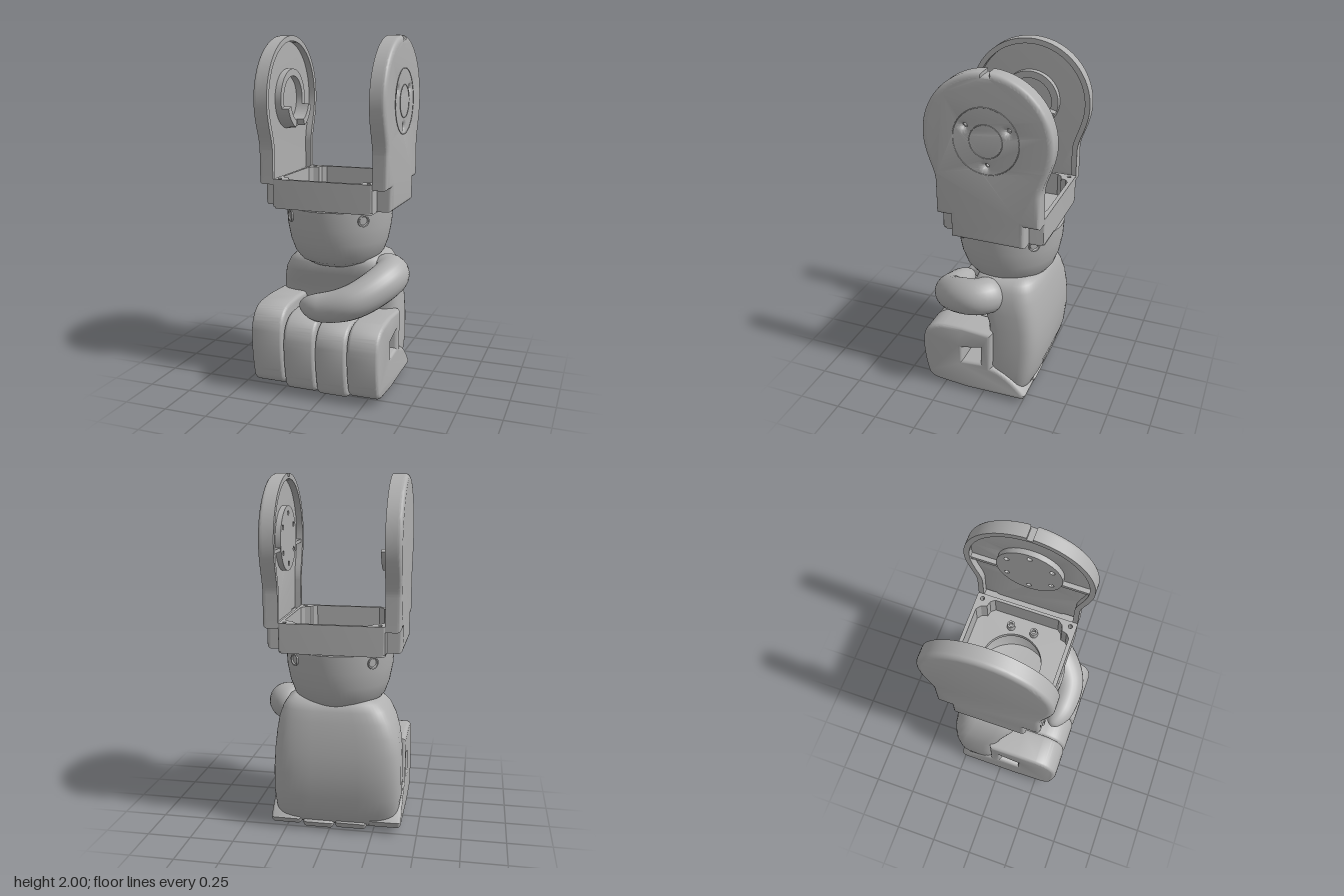
import * as THREE from 'three';
import { toCreasedNormals, mergeVertices } from 'three/addons/utils/BufferGeometryUtils.js';

const CX = -0.027, CZ = -0.045, HUB = 1.645;   // bracket axis and hub height

export function createModel() {
  const grey = new THREE.MeshStandardMaterial({ color: 0xb0b0b0 });
  grey.name = 'grey plastic';
  const model = new THREE.Group();
  model.name = 'fistWithBracket';

  const add = (name, geo, x = 0, y = 0, z = 0, parent = model) => {
    const m = new THREE.Mesh(geo, grey);
    m.name = name;
    m.position.set(x, y, z);
    parent.add(m);
    return m;
  };
  const circle = (x, y, r) => new THREE.Path().absarc(x, y, r, 0, Math.PI * 2, true);
  const extrude = (shape, depth, bevel = 0, thick = bevel) => toCreasedNormals(
    new THREE.ExtrudeGeometry(shape, {
      depth, curveSegments: 28, bevelEnabled: bevel > 0, bevelSegments: 5,
      bevelSize: bevel, bevelThickness: thick, bevelOffset: -bevel,
    }), 0.6);
  // shape X runs along z; the extrusion starts at x = 0 and runs to -x
  const sideways = (...a) => extrude(...a).rotateY(-Math.PI / 2);
  // the extrusion runs upward
  const upright = (...a) => extrude(...a).rotateX(-Math.PI / 2);

  // ---------- bracket side plates ----------
  const outline = (Type, inset, notch) => {
    const s = new Type(), w = 0.293 - inset, R = 0.355 - inset, a = 0.28;
    const ax = R * Math.cos(a), ay = HUB - R * Math.sin(a);
    if (inset) s.moveTo(-w, 1.2).lineTo(w, 1.2);
    else s.moveTo(-w, 1.19).lineTo(-0.21, 1.19).lineTo(-0.21, 1.06).lineTo(0.21, 1.06).lineTo(0.21, 1.19).lineTo(w, 1.19);
    s.lineTo(w, 1.37).bezierCurveTo(w, 1.43, ax - 0.022, ay - 0.08, ax, ay);
    if (notch) {
      const g = 0.045;
      s.absarc(0, HUB, R, -a, Math.PI / 2 - g, false);
      s.lineTo(0.016, 1.982).lineTo(-0.016, 1.982);
      s.absarc(0, HUB, R, Math.PI / 2 + g, Math.PI + a, false);
    } else s.absarc(0, HUB, R, -a, Math.PI + a, false);
    s.bezierCurveTo(-ax + 0.022, ay - 0.08, -w, 1.43, -w, 1.37);
    s.closePath();
    return s;
  };
  const bolts = [[0.118, 1.712], [-0.118, 1.712], [0, 1.508]];

  for (const side of [1, -1]) {
    const plate = new THREE.Group();
    plate.name = side > 0 ? 'leftPlate' : 'rightPlate';
    model.add(plate);
    const outer = side > 0 ? 0.35 : -0.403;
    const skin = outline(THREE.Shape, 0, side > 0);
    if (side > 0) bolts.forEach(([u, y]) => skin.holes.push(circle(u, y, 0.012)));
    add('plateSkin', sideways(skin, 0.002, 0.03, 0.025), side > 0 ? outer - 0.025 : outer + 0.027, 0, CZ, plate);
    const rim = outline(THREE.Shape, 0, side > 0);
    rim.holes.push(outline(THREE.Path, 0.03, false));
    add('plateRim', sideways(rim, 0.062), side > 0 ? outer - 0.026 : outer + 0.088, 0, CZ, plate);
  }

  // hub disc with bolt circle, ribs and outer seam lines on the left plate
  const disc = new THREE.Shape().absarc(0, HUB, 0.18, 0, Math.PI * 2);
  for (let i = 0; i < 6; i++) {
    const a = (i + 0.5) * Math.PI / 3;
    disc.holes.push(circle(0.14 * Math.cos(a), HUB + 0.14 * Math.sin(a), 0.014));
  }
  add('hubDisc', sideways(disc, 0.035), 0.303, 0, CZ);
  for (const s of [1, -1]) add('hubRib', new THREE.BoxGeometry(0.03, 0.02, 0.18), 0.287, 1.6, CZ + s * 0.25);
  for (const r of [0.18, 0.09]) {
    add('hubSeam', new THREE.TorusGeometry(r, 0.0025, 6, 64).rotateY(Math.PI / 2), 0.35, HUB, CZ);
  }

  // bearing ring with two protruding tabs on the right plate
  const ring = new THREE.Shape().absarc(0, HUB, 0.17, 0, Math.PI * 2);
  ring.holes.push(circle(0, HUB, 0.13));
  add('bearingRing', sideways(ring, 0.045), -0.315, 0, CZ);
  for (const [a0, a1] of [[3.42, 4.33], [5.09, 6.0]]) {
    const tab = new THREE.Shape().absarc(0, HUB, 0.17, a0, a1, false).absarc(0, HUB, 0.13, a1, a0, true);
    add('bearingTab', sideways(tab, 0.05), -0.272, 0, CZ);
  }

  // ---------- tray between the plates ----------
  const rounded = (hx, hz, r) => {
    const s = new THREE.Shape();
    s.moveTo(-hx + r, -hz).lineTo(hx - r, -hz).quadraticCurveTo(hx, -hz, hx, -hz + r);
    s.lineTo(hx, hz - r).quadraticCurveTo(hx, hz, hx - r, hz);
    s.lineTo(-hx + r, hz).quadraticCurveTo(-hx, hz, -hx, hz - r);
    s.lineTo(-hx, -hz + r).quadraticCurveTo(-hx, -hz, -hx + r, -hz);
    return s;
  };
  const wall = rounded(0.29, 0.295, 0.012);
  const cavity = new THREE.Path(), h = 0.273;
  // one stepped corner, turned four times
  [0, 1, 2, 3].forEach(q => {
    [[h, h - 0.085], [h - 0.02, h - 0.06], [h - 0.05, h - 0.053], [h - 0.06, h - 0.02], [h - 0.085, h]].forEach(([x, y], i) => {
      const p = new THREE.Vector2(x, y).rotateAround(new THREE.Vector2(), q * Math.PI / 2);
      if (q + i) cavity.lineTo(p.x, p.y); else cavity.moveTo(p.x, p.y);
    });
  });
  cavity.closePath();
  wall.holes.push(cavity);
  for (const x of [-0.26, 0.26]) for (const y of [-0.26, 0.26]) wall.holes.push(circle(x, y, 0.012));
  add('trayWall', upright(wall, 0.155), CX, 1.065, CZ);
  const floor = rounded(0.288, 0.293, 0.03);
  floor.holes.push(circle(0, 0, 0.17));
  add('trayFloor', upright(floor, 0.03), CX, 1.055, CZ);

  // screw posts: hollow cups turned on a lathe
  const lathe = (pts, n = 24) => toCreasedNormals(
    new THREE.LatheGeometry(pts.map(p => new THREE.Vector2(...p)), n), 0.6);
  const post = lathe([[0.024, 0], [0.022, 0.045], [0.012, 0.045], [0.012, 0.02], [0, 0.02]]);
  for (const [x, z] of [[0.175, -0.115], [0.175, 0.022], [-0.255, CZ]]) add('screwPost', post, x, 1.08, z);

  // ---------- wrist cup ----------
  add('wristCup', lathe([[0, 0.70], [0.1, 0.702], [0.17, 0.715], [0.225, 0.745], [0.26, 0.79], [0.285, 0.86],
    [0.302, 0.95], [0.308, 1.052], [0.28, 1.052], [0.265, 0.9], [0.22, 0.8], [0, 0.78]], 64), CX, 0, CZ);
  const screw = lathe([[0.036, -0.02], [0.034, 0.006], [0.027, 0.006], [0.022, -0.002], [0.011, -0.002], [0.009, -0.012], [0, -0.012]]).rotateX(Math.PI / 2);
  for (let i = 0; i < 4; i++) {
    const a = Math.PI / 4 + i * Math.PI / 2;
    add('wristScrew', screw, CX + 0.306 * Math.sin(a), 1.005, CZ + 0.306 * Math.cos(a)).rotation.y = a;
  }

  // ---------- palm: rounded-square sections [y, x0, x1, zBack, zFront] ----------
  const rows = [[0.035, -0.34, 0.27, -0.235, -0.1], [0.06, -0.37, 0.305, -0.262, -0.05], [0.12, -0.39, 0.32, -0.29, -0.02],
    [0.22, -0.405, 0.328, -0.32, 0], [0.36, -0.405, 0.325, -0.335, 0], [0.48, -0.4, 0.318, -0.33, 0.005],
    [0.58, -0.385, 0.31, -0.318, 0.04], [0.66, -0.355, 0.3, -0.303, 0.09], [0.72, -0.32, 0.28, -0.288, 0.1],
    [0.76, -0.28, 0.255, -0.268, 0.08], [0.78, -0.22, 0.21, -0.23, 0.03]];
  const N = 48, pos = [], idx = [];
  const pow = v => Math.sign(v) * Math.sqrt(Math.abs(v));
  rows.forEach(([y, x0, x1, z0, z1], r) => {
    for (let j = 0; j < N; j++) {
      const a = j / N * Math.PI * 2;
      pos.push((x0 + x1) / 2 + (x1 - x0) / 2 * pow(Math.cos(a)), y, (z0 + z1) / 2 + (z1 - z0) / 2 * pow(Math.sin(a)));
      const k = (j + 1) % N, b = r * N, t = b + N;
      if (r < rows.length - 1) idx.push(b + j, t + j, b + k, b + k, t + j, t + k);
    }
  });
  const last = (rows.length - 1) * N, c = rows.length * N;
  pos.push(-0.035, 0.03, -0.17, -0.005, 0.785, -0.1);
  for (let j = 0; j < N; j++) {
    const k = (j + 1) % N;
    idx.push(c, j, k, c + 1, last + k, last + j);
  }
  const palm = new THREE.BufferGeometry();
  palm.setAttribute('position', new THREE.Float32BufferAttribute(pos, 3));
  palm.setIndex(idx);
  palm.computeVertexNormals();
  add('palm', palm);

  // ---------- curled fingers [x0, x1, bottom, top, curl gap] ----------
  const fingers = [[-0.41, -0.22, 0.035, 0.52, true], [-0.215, -0.03, 0.012, 0.475, false],
    [-0.025, 0.155, 0.005, 0.45, false], [0.16, 0.342, 0.02, 0.455, true]];
  const names = ['littleFinger', 'ringFinger', 'middleFinger', 'indexFinger'];
  fingers.forEach(([x0, x1, y0, y1, gap], i) => {
    const y = t => y0 + (y1 - y0) * t;
    const s = new THREE.Shape();
    s.moveTo(-0.255, y(0.02)).lineTo(0.1, y(0)).lineTo(0.28, y(0.03));
    s.quadraticCurveTo(0.34, y(0.05), 0.352, y(0.14));
    s.bezierCurveTo(0.375, y(0.35), 0.385, y(0.55), 0.375, y(0.72));
    s.bezierCurveTo(0.36, y(0.9), 0.31, y(0.97), 0.24, y(0.99));
    s.lineTo(0.12, y(1)).lineTo(-0.06, y(0.98)).lineTo(-0.06, y(0.44));
    s.quadraticCurveTo(-0.16, y(0.4), -0.27, y(0.09));
    s.closePath();
    if (gap) {
      const p = new THREE.Path();
      p.moveTo(0.125, y(0.45)).lineTo(0.01, y(0.48)).lineTo(0.01, y(0.73)).lineTo(0.125, y(0.66)).closePath();
      s.holes.push(p);
    }
    const b = 0.024;
    add(names[i], sideways(s, x1 - x0 - 2 * b, b), x1 - b);
  });

  // ---------- thumb: tube with rounded ends and a tapering radius ----------
  const path = new THREE.CatmullRomCurve3([[0.2, 0.67, -0.06], [0.305, 0.678, 0.02], [0.29, 0.65, 0.13],
    [0.16, 0.57, 0.265], [0, 0.525, 0.285], [-0.155, 0.52, 0.26]].map(p => new THREE.Vector3(...p)));
  const S = 60, thumb = new THREE.TubeGeometry(path, S, 1, 24, false);
  const tp = thumb.attributes.position, tn = thumb.attributes.normal;
  const v = new THREE.Vector3(), round = s => (s >= 1 ? 1 : Math.sqrt(Math.max(0, 1 - (1 - s) ** 2)));
  for (let i = 0; i < tp.count; i++) {
    const t = Math.floor(i / 25) / S;
    const r = (0.105 - 0.04 * t ** 3) * round(t / 0.12) * round((1 - t) / 0.18);
    v.fromBufferAttribute(tn, i).multiplyScalar(r).add(path.getPointAt(t));
    tp.setXYZ(i, v.x, v.y, v.z);
  }
  thumb.deleteAttribute('uv');
  thumb.deleteAttribute('normal');
  const thumbGeo = mergeVertices(thumb, 1e-5);
  thumbGeo.computeVertexNormals();
  add('thumb', thumbGeo);

  return model;
}
